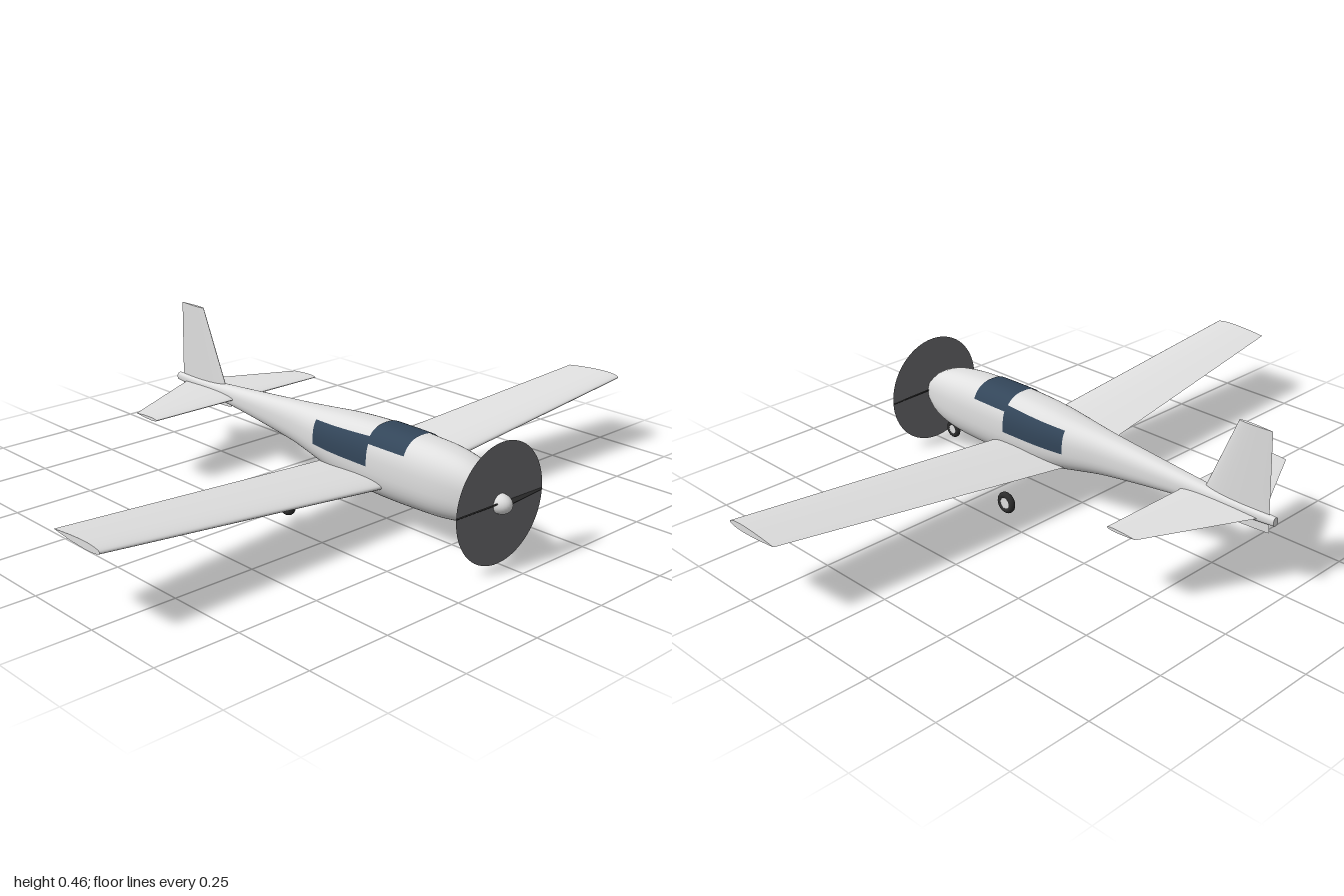
import * as THREE from 'three';

const mat = (name, color, side = THREE.FrontSide) => {
  const m = new THREE.MeshStandardMaterial({ color, side });
  m.name = name;
  return m;
};

// Skin a list of point rings; optional fan caps close both ends
function loft(rings, capped = true) {
  const n = rings[0].length, pos = [], idx = [];
  rings.forEach(r => r.forEach(p => pos.push(...p)));
  for (let i = 0; i < rings.length - 1; i++) {
    for (let j = 0; j < n - 1; j++) {
      const a = i * n + j, b = a + n;
      idx.push(a, b, a + 1, b, b + 1, a + 1);
    }
  }
  if (capped) {
    [rings[0], rings[rings.length - 1]].forEach((ring, end) => {
      const base = pos.length / 3;
      const mid = [0, 1, 2].map(k => ring.reduce((s, p) => s + p[k], 0) / n);
      [mid, ...ring].forEach(p => pos.push(...p));
      for (let j = 1; j < n; j++) {
        idx.push(base, base + (end ? j + 1 : j), base + (end ? j : j + 1));
      }
    });
  }
  const g = new THREE.BufferGeometry();
  g.setAttribute('position', new THREE.Float32BufferAttribute(pos, 3));
  g.setIndex(idx);
  g.computeVertexNormals();
  return g;
}

// Aerofoil outline as [fraction of chord, height], trailing edge round to trailing edge
function foil(thickness, steps = 12) {
  const pts = [];
  for (let i = -steps; i <= steps; i++) {
    const s = (i / steps) ** 2;
    const h = thickness * 5 * (0.2969 * Math.sqrt(s) - 0.126 * s - 0.3516 * s * s + 0.2843 * s ** 3 - 0.1036 * s ** 4);
    pts.push([s, Math.sign(i) * h]);
  }
  return pts;
}

// Fuselage stations: z, half width, top, bottom
const stations = [
  [-0.705, 0.010, 0.220, 0.195], [-0.6, 0.016, 0.224, 0.187], [-0.4, 0.028, 0.238, 0.171],
  [-0.2, 0.042, 0.254, 0.148], [-0.1, 0.051, 0.262, 0.134], [0, 0.066, 0.271, 0.114],
  [0.1, 0.079, 0.281, 0.093], [0.2, 0.083, 0.287, 0.082], [0.3, 0.084, 0.288, 0.078],
  [0.4, 0.083, 0.286, 0.079], [0.5, 0.078, 0.279, 0.083], [0.58, 0.064, 0.262, 0.095],
  [0.62, 0.051, 0.242, 0.107], [0.66, 0.031, 0.207, 0.128],
];
const shape = new THREE.CubicInterpolant(
  stations.map(s => s[0]), stations.flatMap(s => s.slice(1)), 3, new Float32Array(3));
const POWER = 2.5; // squareness of the body section

function section(z) {
  const [w, top, bottom] = shape.evaluate(z);
  return { w, yc: (top + bottom) / 2, h: (top - bottom) / 2 };
}

function bodyArc(z, from, to, steps, grow = 0) {
  const { w, yc, h } = section(z);
  const bend = v => Math.sign(v) * Math.abs(v) ** (2 / POWER);
  return Array.from({ length: steps + 1 }, (_, j) => {
    const a = from + (to - from) * j / steps;
    return [(w + grow) * bend(Math.cos(a)), yc + (h + grow) * bend(Math.sin(a)), z];
  });
}

// Angle round the body section at which a height is reached
function angleAt(z, y) {
  const { yc, h } = section(z);
  const v = THREE.MathUtils.clamp((y - yc) / h, -1, 1);
  return Math.asin(Math.sign(v) * Math.abs(v) ** (POWER / 2));
}

// Thin glass panel lying on the body; range(z) gives its start and end angles
function panel(zFront, zBack, range) {
  const rings = [];
  for (let i = 0; i <= 16; i++) {
    const z = zFront + (zBack - zFront) * i / 16;
    rings.push(bodyArc(z, ...range(z), 24, 0.002));
  }
  return loft(rings, false);
}

export function createModel() {
  const model = new THREE.Group();
  const paint = mat('light grey paint', 0xe0e0e0);
  const glass = mat('dark blue glass', 0x33465a, THREE.DoubleSide);
  const blur = mat('propeller disc grey', 0x6c6c6f, THREE.DoubleSide);
  const black = mat('black rubber', 0x2c2c2c);
  const add = (name, geometry, material, parent = model) => {
    const m = new THREE.Mesh(geometry, material);
    m.name = name;
    parent.add(m);
    return m;
  };

  // Fuselage
  const hull = [];
  for (let i = 0; i <= 70; i++) {
    const z = 0.66 - 1.365 * i / 70;
    hull.push(bodyArc(z, -Math.PI / 2, Math.PI * 1.5, 48));
  }
  add('fuselage', loft(hull), paint);

  // Windscreen over the top, and a window on each side
  add('windscreen', panel(0.385, 0.245, z => {
    const a = angleAt(z, 0.243);
    return [a, Math.PI - a];
  }), glass);
  const sideRange = z => [angleAt(z, 0.18), angleAt(z, 0.25 + (z - 0.015) * 0.05)];
  add('leftWindow', panel(0.25, 0.015, sideRange), glass);
  add('rightWindow', panel(0.25, 0.015, z => {
    const [lo, hi] = sideRange(z);
    return [Math.PI - hi, Math.PI - lo];
  }), glass);

  // Wing with dihedral, straight leading edge and swept trailing edge
  const lerp = THREE.MathUtils.lerp;
  const surface = (xs, span, spec) => loft(xs.map(x => {
    const t = Math.abs(x) / span;
    const [front, back, y, thick] = spec.map(([root, tip]) => lerp(root, tip, t));
    return foil(thick).map(([s, h]) => [x, y + h, front + (back - front) * s]);
  }));
  add('wing', surface([-1, -0.5, -0.05, 0, 0.05, 0.5, 1], 1,
    [[0.305, 0.305], [0.02, 0.11], [0.122, 0.219], [0.034, 0.021]]), paint);

  // Tailplane
  add('tailplane', surface([-0.32, -0.02, 0, 0.02, 0.32], 0.32,
    [[-0.4, -0.4], [-0.66, -0.5], [0.203, 0.203], [0.018, 0.009]]), paint);

  // Fin, carried down just below the tail
  add('fin', loft([0, 1].map(t => {
    const front = lerp(-0.439, -0.57, t), back = lerp(-0.685, -0.678, t);
    return foil(lerp(0.02, 0.01, t)).map(([s, h]) => [-h, lerp(0.165, 0.46, t), front + (back - front) * s]);
  })), paint);

  // Propeller: spinner, blurred disc and two pitched blades
  const propeller = new THREE.Group();
  propeller.name = 'propeller';
  propeller.position.set(0, 0.171, 0.664);
  model.add(propeller);
  const spinner = add('spinner', new THREE.SphereGeometry(1, 24, 16), paint, propeller);
  spinner.scale.set(0.028, 0.028, 0.037);
  add('propellerDisc', new THREE.CircleGeometry(0.171, 64), blur, propeller);
  for (const side of [0, 1]) {
    const blade = new THREE.Group();
    blade.name = side ? 'rightBlade' : 'leftBlade';
    blade.rotation.z = side * Math.PI - 0.02;
    propeller.add(blade);
    const g = new THREE.BoxGeometry(0.166, 0.004, 0.026, 4, 1, 1);
    const p = g.attributes.position;
    for (let i = 0; i < p.count; i++) {
      p.setZ(i, p.getZ(i) * (0.75 - p.getX(i) * 5.5)); // taper to the tip
    }
    g.computeVertexNormals();
    const b = add('bladeVane', g, black, blade);
    b.position.x = 0.085;
    b.rotation.x = 0.6;
  }

  // Wheels
  const wheel = (name, x, y, z, r) => {
    const w = new THREE.Group();
    w.name = name;
    w.position.set(x, y, z);
    const tyre = add('tyre', new THREE.TorusGeometry(r * 0.7, r * 0.3, 12, 32), black, w);
    const hub = add('hub', new THREE.CylinderGeometry(r * 0.55, r * 0.55, r * 0.45, 24), paint, w);
    tyre.rotation.y = Math.PI / 2;
    hub.rotation.z = Math.PI / 2;
    model.add(w);
  };
  wheel('noseWheel', 0, 0.053, 0.578, 0.028);
  wheel('leftWheel', 0.23, 0.058, 0.083, 0.033);
  wheel('rightWheel', -0.23, 0.058, 0.083, 0.033);

  return model;
}
